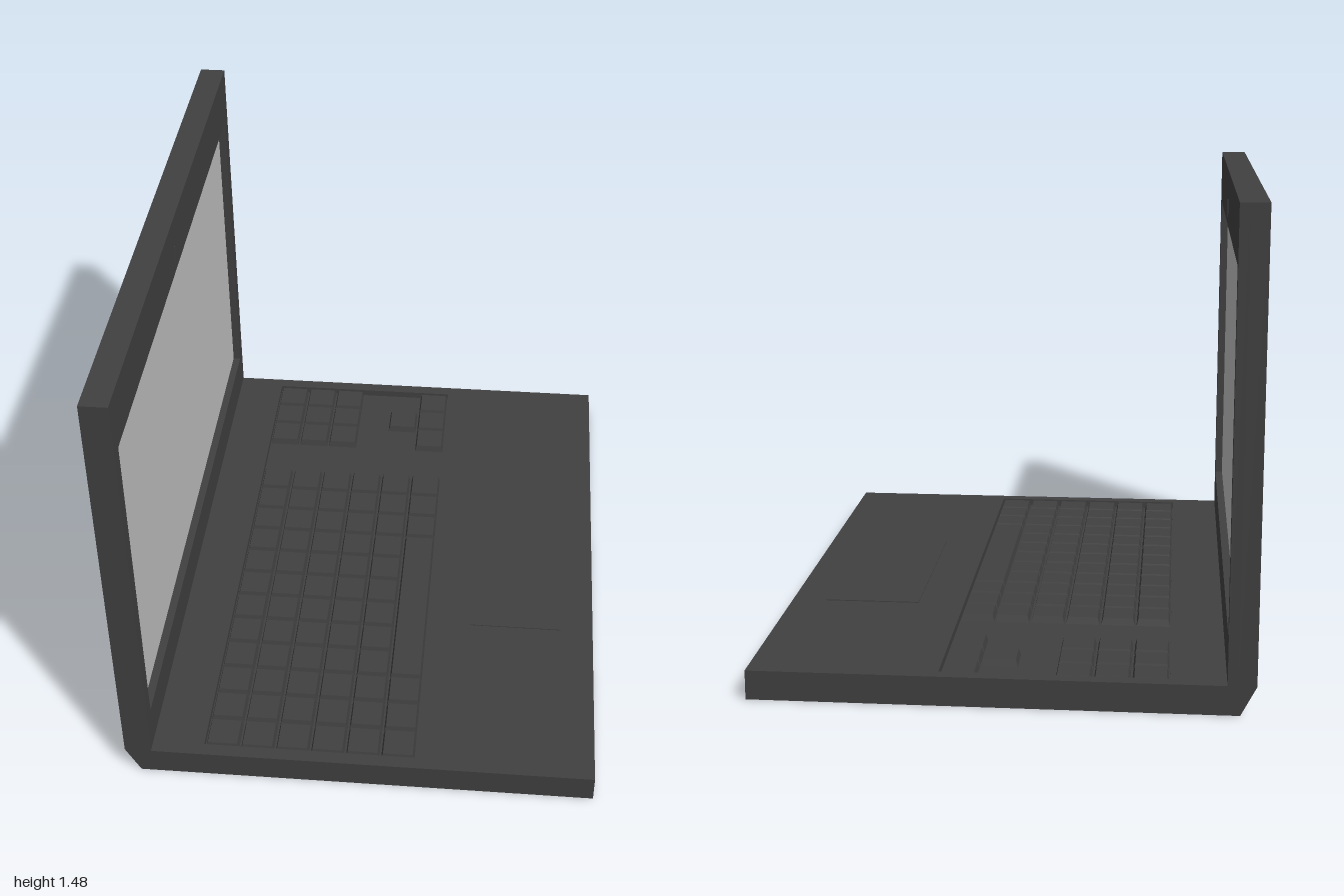
import * as THREE from 'three';

const shellMat = new THREE.MeshStandardMaterial({ color: 0x404040 });
shellMat.name = 'charcoal';
const screenMat = new THREE.MeshStandardMaterial({ color: 0xc0c0c0 });
screenMat.name = 'screenGrey';

const DECK = 0.09;        // top of the base
const TRAY = 0.065;       // floor of the keyboard tray
const LID_FRONT = -0.665; // front plane of the lid
const PANEL = -0.695;     // plane of the recessed display
const LID_TOP = 1.48;

function add(parent, name, geometry, material) {
  const mesh = new THREE.Mesh(geometry, material);
  mesh.name = name;
  parent.add(mesh);
  return mesh;
}

function rect(Type, a0, a1, b0, b1) {
  return new Type([[a0, b0], [a1, b0], [a1, b1], [a0, b1]].map(p => new THREE.Vector2(...p)));
}

// Plate with a rectangular opening
function frame(outer, inner, depth) {
  const shape = rect(THREE.Shape, ...outer);
  shape.holes.push(rect(THREE.Path, ...inner));
  return new THREE.ExtrudeGeometry(shape, { depth, bevelEnabled: false });
}

// Key cap whose top is slightly smaller than its base
function keyGeometry(w, d) {
  const h = 0.023, inset = 0.006;
  const g = new THREE.BoxGeometry(w, h, d).translate(0, h / 2, 0);
  const p = g.attributes.position;
  for (let i = 0; i < p.count; i++) {
    if (p.getY(i) > h / 2) {
      p.setX(i, p.getX(i) - Math.sign(p.getX(i)) * inset);
      p.setZ(i, p.getZ(i) - Math.sign(p.getZ(i)) * inset);
    }
  }
  g.computeVertexNormals();
  return g;
}

export function createModel() {
  const laptop = new THREE.Group();
  laptop.name = 'laptop';

  // L-shaped shell: base bottom and lid back with the chamfered hinge corner
  const profile = new THREE.Shape([
    [-0.703, 0], [0.75, 0], [0.75, TRAY], [PANEL, TRAY],
    [PANEL, LID_TOP], [-0.75, LID_TOP], [-0.75, DECK],
  ].map(p => new THREE.Vector2(...p)));
  add(laptop, 'shell',
    new THREE.ExtrudeGeometry(profile, { depth: 2, bevelEnabled: false }).translate(0, 0, -1), shellMat);

  // Deck around the keyboard tray
  const deck = frame([PANEL, 0.75, -1, 1], [-0.5, 0.18, -0.957, 0.957], DECK - TRAY);
  add(laptop, 'deck', deck.rotateX(-Math.PI / 2).translate(0, TRAY, 0), shellMat);

  // Bezel around the display
  const bezel = frame([-1, 1, DECK, LID_TOP], [-0.948, 0.948, 0.225, 1.3], LID_FRONT - PANEL);
  add(laptop, 'bezel', bezel.rotateY(Math.PI / 2).translate(PANEL, 0, 0), shellMat);

  // Display panel
  add(laptop, 'screen', new THREE.BoxGeometry(0.004, 1.075, 1.896), screenMat)
    .position.set(PANEL + 0.002, 0.7625, 0);

  // Camera slit above the display
  add(laptop, 'camera', new THREE.BoxGeometry(0.004, 0.06, 0.006), shellMat)
    .position.set(LID_FRONT + 0.001, 1.36, 0.045);

  // Trackpad
  add(laptop, 'trackpad', new THREE.BoxGeometry(0.31, 0.006, 0.7), shellMat)
    .position.set(0.485, DECK, 0);

  // Keyboard: rows run along x, columns along z
  const keyboard = new THREE.Group();
  keyboard.name = 'keyboard';
  laptop.add(keyboard);
  const px = 0.68 / 6, pz = 1.4 / 12, pc = 0.345 / 3;
  const key = keyGeometry(px - 0.006, pz - 0.006);
  const smallKey = keyGeometry(px - 0.006, pc - 0.006);
  const rowX = r => -0.5 + (r + 0.5) * px;
  const clusterZ = c => -0.957 + (c + 0.5) * pc;

  // Main block, leaving room for the space bar in the front row
  for (let r = 0; r < 6; r++) {
    for (let c = 0; c < 12; c++) {
      if (r === 5 && c >= 3 && c <= 8) continue;
      add(keyboard, 'key', key, shellMat).position.set(rowX(r), TRAY, -0.445 + (c + 0.5) * pz);
    }
  }
  add(keyboard, 'spaceBar', keyGeometry(px - 0.006, 6 * pz - 0.006), shellMat)
    .position.set(rowX(5), TRAY, -0.445 + 6 * pz);

  // Navigation block
  for (let r = 0; r < 3; r++) {
    for (let c = 0; c < 3; c++) {
      add(keyboard, 'navigationKey', smallKey, shellMat).position.set(rowX(r), TRAY, clusterZ(c));
    }
  }

  // Arrow keys
  for (const [r, c] of [[5, 0], [5, 1], [5, 2], [4, 1]]) {
    add(keyboard, 'arrowKey', smallKey, shellMat).position.set(rowX(r), TRAY, clusterZ(c));
  }

  return laptop;
}
